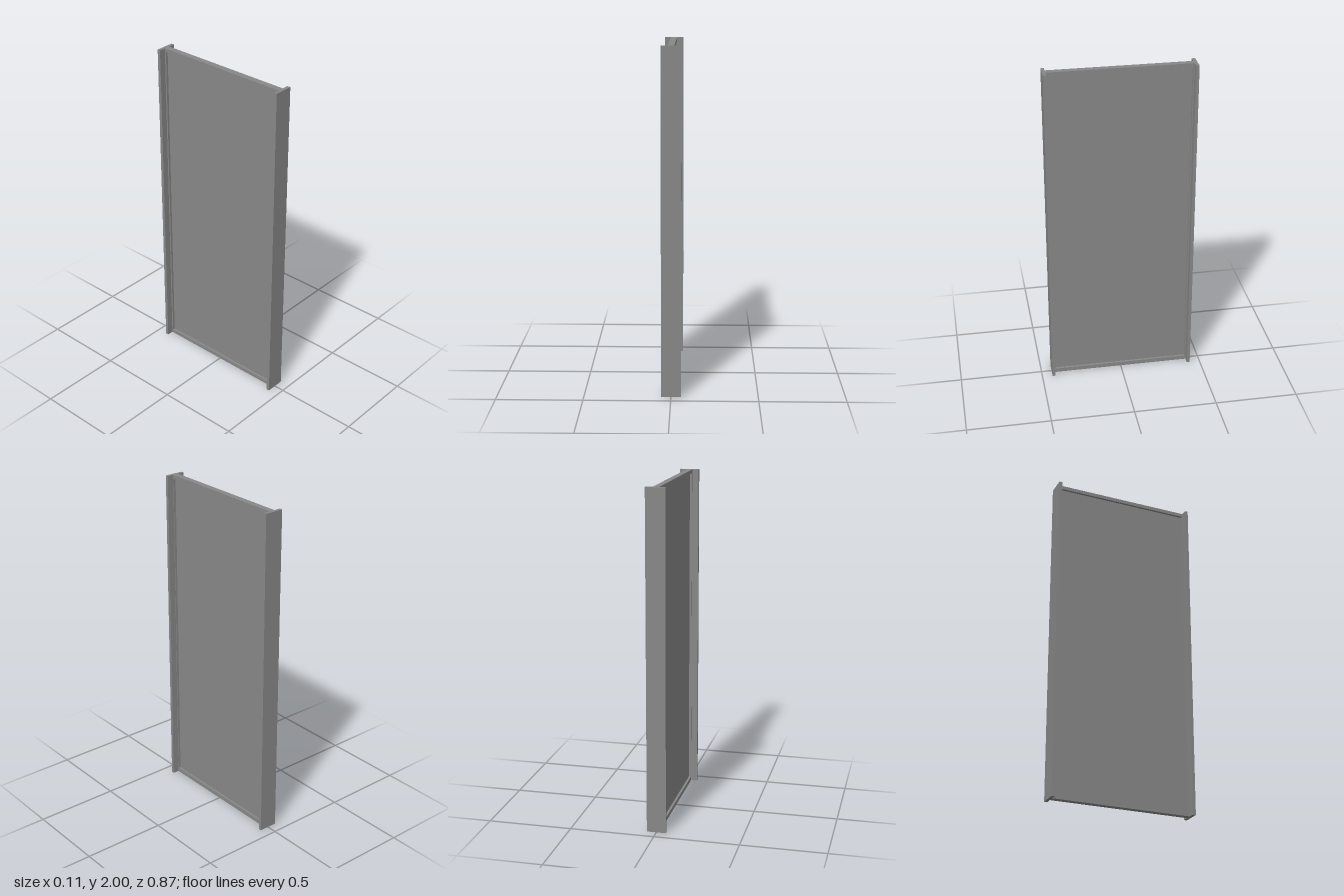
import * as THREE from 'three';

export function createModel() {
  const group = new THREE.Group();
  const material = new THREE.MeshStandardMaterial({ color: 0x888888 });

  // Axis-aligned box centred on x = 0, spanning the given y and z ranges
  const slab = (name, width, y0, y1, z0, z1) => {
    const mesh = new THREE.Mesh(new THREE.BoxGeometry(width, y1 - y0, z1 - z0), material);
    mesh.name = name;
    mesh.position.set(0, (y0 + y1) / 2, (z0 + z1) / 2);
    group.add(mesh);
  };

  const frameWidth = 0.036;
  const flangeWidth = 0.114;
  const inner = 0.418; // inside face of the flanges
  const outer = 0.437;
  const frontEdge = 0.414; // inside faces of the thin stiles
  const backEdge = -0.41;
  const bottom = 0.025; // inside faces of the rails
  const top = 1.978;

  // Recessed thin panel
  slab('panel', 0.008, bottom, top, backEdge, frontEdge);

  // Rails closing the panel at top and bottom
  slab('bottomRail', frameWidth, 0, bottom, -inner, inner);
  slab('topRail', frameWidth, top, 2, -inner, inner);

  // Narrow stiles and wide end flanges, front and back
  slab('frontStile', frameWidth, bottom, top, frontEdge, inner);
  slab('backStile', frameWidth, bottom, top, -inner, backEdge);
  slab('frontFlange', flangeWidth, 0, 2, inner, outer);
  slab('backFlange', flangeWidth, 0, 2, -outer, -inner);

  return group;
}
